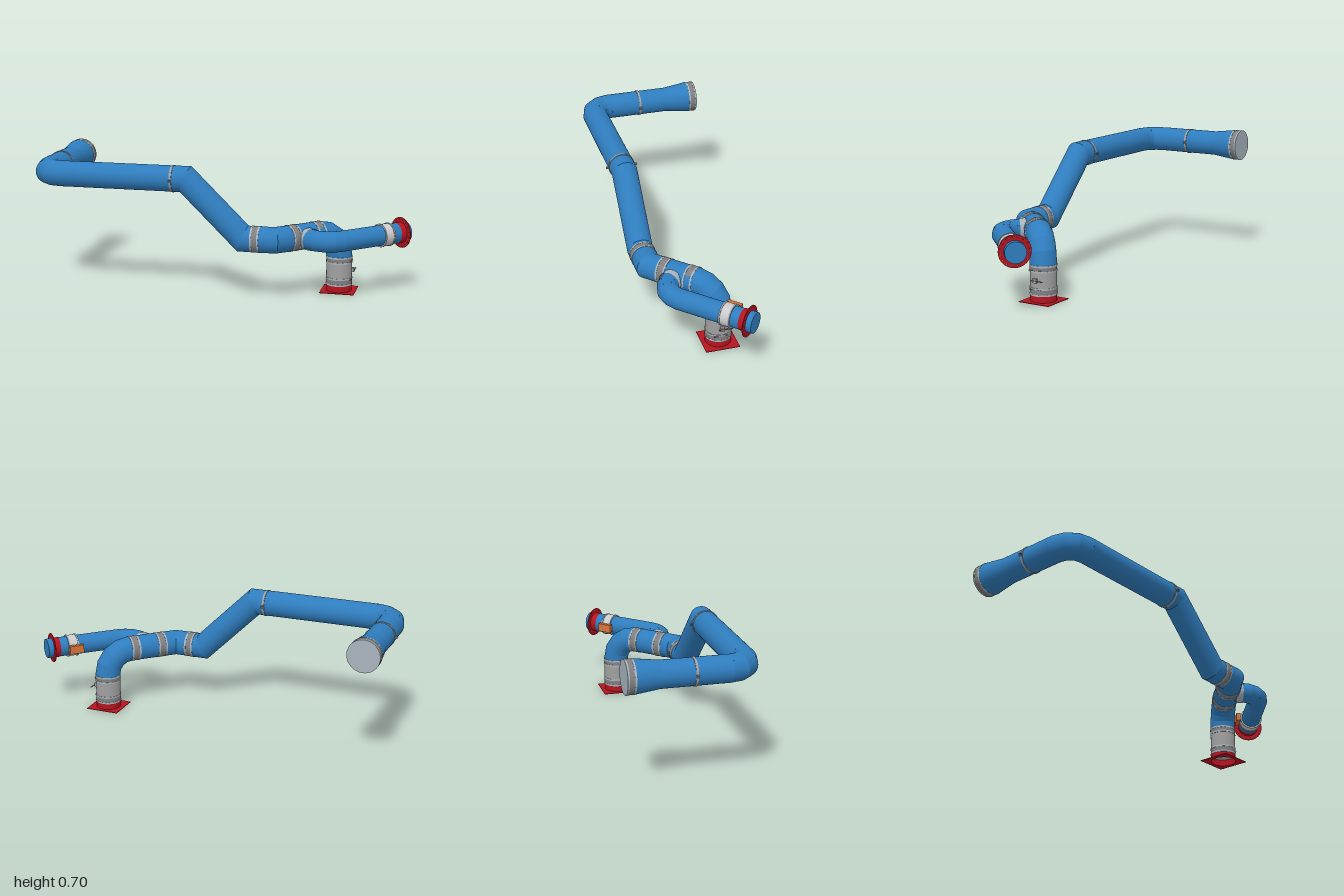
import * as THREE from 'three';

const V = (x, y, z) => new THREE.Vector3(x, y, z);
const UP = V(0, 1, 0);
const mat = (color) => new THREE.MeshStandardMaterial({ color, side: THREE.DoubleSide });
const blue = mat(0x2f7dbe), red = mat(0xb5141f), grey = mat(0x808080);
const light = mat(0xa9b4bd), pale = mat(0xcccccc), drum = mat(0xa0a0a0), orange = mat(0xd9743a);
const SIDES = 40;

export function createModel() {
  const model = new THREE.Group();
  const add = (parent, name, geo, material) => {
    const mesh = new THREE.Mesh(geo, material);
    mesh.name = name;
    parent.add(mesh);
    return mesh;
  };

  // Expands square corners [point, bendRadius, steps] into arc points
  function roundCorners(list) {
    const out = [];
    list.forEach(([p, R, steps], i) => {
      if (!R) { out.push(p); return; }
      const d1 = p.clone().sub(list[i - 1][0]).normalize();
      const d2 = list[i + 1][0].clone().sub(p).normalize();
      const c = p.clone().addScaledVector(d1, -R).addScaledVector(d2, R);
      for (let k = 0; k <= steps; k++) {
        const t = (k / steps) * Math.PI / 2;
        out.push(c.clone().addScaledVector(d2, -R * Math.cos(t)).addScaledVector(d1, R * Math.sin(t)));
      }
    });
    return out;
  }

  // Round duct of straight pieces, each end sheared onto its mitre plane
  function duct(name, list, r) {
    const group = new THREE.Group();
    group.name = name;
    const pts = roundCorners(list);
    const dirs = pts.slice(1).map((p, i) => p.clone().sub(pts[i]).normalize());
    dirs.forEach((d, i) => {
      const geo = new THREE.CylinderGeometry(r, r, 2, SIDES, 1, true);
      geo.applyQuaternion(new THREE.Quaternion().setFromUnitVectors(UP, d));
      const pos = geo.attributes.position, v = V(0, 0, 0);
      for (let k = 0; k < pos.count; k++) {
        v.fromBufferAttribute(pos, k);
        const s = Math.sign(v.dot(d));
        v.addScaledVector(d, -s);
        const n = d.clone().add(dirs[s > 0 ? i + 1 : i - 1] || d);
        v.addScaledVector(d, -v.dot(n) / d.dot(n)).add(pts[s > 0 ? i + 1 : i]);
        pos.setXYZ(k, v.x, v.y, v.z);
      }
      add(group, 'ductPiece', geo, blue);
    });
    model.add(group);
  }

  // Sleeve running from a to b along dir, measured from origin
  function sleeve(name, origin, dir, a, b, r, material, r2 = r, open = true) {
    const geo = new THREE.CylinderGeometry(r2, r, b - a, SIDES, 1, open);
    const mesh = add(model, name, geo, material);
    mesh.quaternion.setFromUnitVectors(UP, dir);
    mesh.position.copy(origin).addScaledVector(dir, (a + b) / 2);
    return mesh;
  }

  // Coupling: grey band with a light bead at each edge
  function coupling(origin, dir, a, b, r) {
    sleeve('couplingBand', origin, dir, a, b, r + 0.001, grey);
    sleeve('couplingBead', origin, dir, a, a + 0.009, r + 0.002, light, r + 0.002, false);
    sleeve('couplingBead', origin, dir, b - 0.009, b, r + 0.002, light, r + 0.002, false);
  }

  // Split clamp: two half rings with paired tabs at both sides
  function clamp(p, turn) {
    const g = new THREE.Group();
    g.name = 'splitClamp';
    for (const s of [0, Math.PI]) {
      const shape = new THREE.Shape();
      shape.absarc(0, 0, 0.0705, 0.05, Math.PI - 0.05, false);
      shape.absarc(0, 0, 0.067, Math.PI - 0.05, 0.05, true);
      const geo = new THREE.ExtrudeGeometry(shape, { depth: 0.012, bevelEnabled: false, curveSegments: 24 });
      add(g, 'clampHalf', geo.translate(0, 0, -0.006).rotateZ(s), drum);
    }
    for (const x of [-1, 1]) for (const y of [-1, 1]) {
      add(g, 'clampTab', new THREE.BoxGeometry(0.016, 0.003, 0.012), drum)
        .position.set(x * 0.076, y * 0.004, 0);
    }
    g.position.copy(p);
    g.rotation.y = turn;
    model.add(g);
  }

  // Main duct
  const R = 0.0675, X = V(1, 0, 0), Z = V(0, 0, 1);
  const diag = V(1, 0, -1).normalize();
  const bend = V(0.333, 0.32, 0.262);
  const base = V(0.621, 0, -0.023);
  duct('mainDuct', [
    [V(-0.915, 0.616, -0.175)],
    [V(-0.915, 0.616, 0.262), 0.1, 3],
    [V(-0.137, 0.616, 0.262)],
    [V(0.165, 0.32, 0.262)],
    [bend],
    [V(0.621, 0.32, -0.023), 0.13, 4],
    [V(0.621, 0.18, -0.023)],
  ], R);
  clamp(V(-0.915, 0.616, -0.012), 0);
  clamp(V(-0.204, 0.616, 0.262), Math.PI / 2);
  coupling(V(0, 0.32, 0.262), X, 0.211, 0.257, R);
  coupling(bend, diag, 0.075, 0.125, R);
  coupling(bend, diag, 0.23, 0.28, R);

  // Flared end
  const mouth = V(-0.915, 0.616, -0.345);
  sleeve('flare', mouth, Z, 0.04, 0.17, 0.0845, blue, R);
  coupling(mouth, Z, 0, 0.043, 0.083);
  sleeve('flareCap', mouth, Z, 0.001, 0.004, 0.082, blue, 0.082, false);

  // Base stand
  const plate = new THREE.Shape([[-1, -1], [1, -1], [1, 1], [-1, 1]]
    .map(([x, y]) => new THREE.Vector2(x * 0.091, y * 0.089)));
  plate.holes.push(new THREE.Path().absarc(0, 0, R, 0, Math.PI * 2, true));
  const plateGeo = new THREE.ExtrudeGeometry(plate, { depth: 0.003, bevelEnabled: false, curveSegments: 20 });
  add(model, 'basePlate', plateGeo.rotateX(-Math.PI / 2), red).position.copy(base);
  sleeve('baseCollar', base, UP, 0, 0.036, R, red);
  coupling(base, UP, 0.035, 0.076, R);
  sleeve('damperBody', base, UP, 0.076, 0.155, R, drum);
  coupling(base, UP, 0.154, 0.19, R);

  // Damper handle and coupling latches
  const box = (name, w, h, d, x, y, z, material) =>
    add(model, name, new THREE.BoxGeometry(w, h, d), material).position.set(x, y, z);
  box('handleHub', 0.014, 0.022, 0.022, 0.694, 0.116, -0.023, drum);
  box('handleBar', 0.004, 0.004, 0.072, 0.703, 0.116, -0.037, grey);
  for (const y of [0.068, 0.165]) box('latch', 0.006, 0.003, 0.07, 0.687, y, -0.017, grey);

  // Branch duct leaving the main duct square and turning parallel to it
  const r = 0.0535;
  const out = V(1, 0, 1).normalize();
  const tee = V(0.4525, 0.318, 0.1425);
  const tip = V(0.957, 0.318, -0.1);
  const corner = tee.clone().addScaledVector(out, 0.185);
  duct('branchDuct', [[tee], [corner, 0.112, 4], [tip]], r);
  sleeve('branchCollar', tee, out, 0.05, 0.085, r + 0.004, light);
  const back = diag.clone().negate();
  sleeve('branchCap', tip, back, 0, 0.003, r, blue, r, false);
  sleeve('flangeSleeve', tip, back, 0.03, 0.068, r + 0.0015, red);
  sleeve('valveBody', tip, back, 0.113, 0.172, r + 0.005, pale, r + 0.005, false);
  for (const a of [0.113, 0.164]) {
    sleeve('valveBead', tip, back, a, a + 0.008, r + 0.008, light, r + 0.008, false);
  }

  // Bolted flange
  const disc = new THREE.Shape().absarc(0, 0, 0.081, 0, Math.PI * 2);
  disc.holes.push(new THREE.Path().absarc(0, 0, r, 0, Math.PI * 2, true));
  for (let i = 0; i < 16; i++) {
    const a = (i + 0.5) * Math.PI / 8;
    disc.holes.push(new THREE.Path().absarc(0.071 * Math.cos(a), 0.071 * Math.sin(a), 0.0025, 0, Math.PI * 2, true));
  }
  const flange = add(model, 'flange',
    new THREE.ExtrudeGeometry(disc, { depth: 0.004, bevelEnabled: false, curveSegments: 16 }), red);
  flange.quaternion.setFromUnitVectors(Z, diag);
  flange.position.copy(tip).addScaledVector(back, 0.034);

  // Actuator box on the valve's inner side
  const actuator = add(model, 'actuator', new THREE.BoxGeometry(0.022, 0.045, 0.08), orange);
  actuator.quaternion.setFromUnitVectors(Z, diag);
  actuator.position.copy(tip).addScaledVector(back, 0.15).addScaledVector(out, -0.076);
  const stem = sleeve('actuatorStem', tip, out, -0.07, -0.05, 0.01, grey);
  stem.position.addScaledVector(back, 0.143);

  return model;
}
